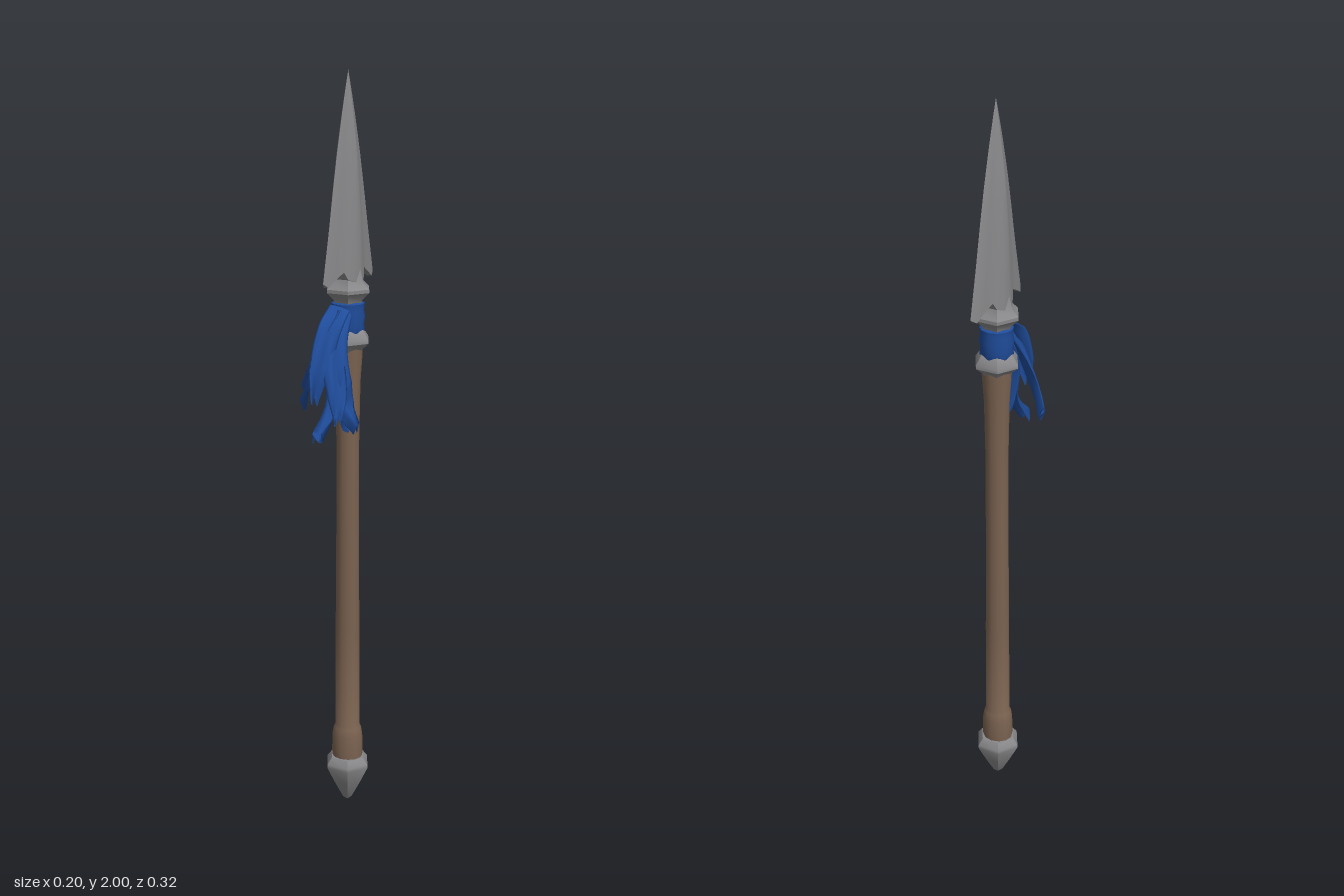
import * as THREE from 'three';
import { toCreasedNormals, mergeVertices } from 'three/addons/utils/BufferGeometryUtils.js';

const CX = 0.012, CZ = -0.031; // axis of the shaft

const steel = new THREE.MeshStandardMaterial({ color: 0x88888a });
steel.name = 'steel';
const wood = new THREE.MeshStandardMaterial({ color: 0x7b6351 });
wood.name = 'wood';
const cloth = new THREE.MeshStandardMaterial({ color: 0x1f4c9a, side: THREE.DoubleSide });
cloth.name = 'blue cloth';

// Piecewise-linear lookup in [[x, y], ...]
function sample(table, x) {
  for (let i = 1; i < table.length; i++) {
    const [x0, y0] = table[i - 1], [x1, y1] = table[i];
    if (x <= x1) return y0 + (y1 - y0) * Math.max(0, (x - x0) / (x1 - x0));
  }
  return table[table.length - 1][1];
}

// Turned part: profile of [radius, y], with a corner on the x axis
function turned(name, profile, sides, material, crease = 0.7) {
  const points = profile.map(([r, y]) => new THREE.Vector2(r, y));
  const lathe = new THREE.LatheGeometry(points, sides, Math.PI / 2);
  const mesh = new THREE.Mesh(toCreasedNormals(lathe, crease), material);
  mesh.name = name;
  mesh.position.set(CX, 0, CZ);
  return mesh;
}

// Closed surface from rings of points, given as fn(row, column) -> [x, y, z]
function loft(rows, cols, fn) {
  const pos = [], idx = [];
  for (let i = 0; i < rows; i++) {
    for (let j = 0; j < cols; j++) pos.push(...fn(i, j));
  }
  for (let i = 0; i < rows - 1; i++) {
    for (let j = 0; j < cols; j++) {
      const k = (j + 1) % cols;
      const a = i * cols + j, b = i * cols + k, c = a + cols, d = b + cols;
      idx.push(a, c, b, b, c, d);
    }
  }
  const g = new THREE.BufferGeometry();
  g.setAttribute('position', new THREE.Float32BufferAttribute(pos, 3));
  g.setIndex(idx);
  return g;
}

// Barbed blade: wide along z, with a thick middle ridge
function makeBlade() {
  const us = [-1, -0.85, -0.65, -0.42, -0.32, -0.16, 0, 0.16, 0.32, 0.42, 0.65, 0.85, 1];
  const n = us.length, rows = 16;
  const bottom = [[0, 1.46], [0.32, 1.475], [0.42, 1.495], [0.65, 1.48], [0.85, 1.463], [1, 1.475]];
  const width = [[1.46, 0.134], [1.5, 0.125], [1.6, 0.102], [1.7, 0.081], [1.8, 0.058], [1.9, 0.031], [1.96, 0.013], [2, 0]];
  const ridge = [[1.46, 0.037], [1.6, 0.035], [1.7, 0.031], [1.8, 0.025], [1.9, 0.014], [2, 0]];
  const section = [[0, 1], [0.16, 0.9], [0.32, 0.66], [0.42, 0.5], [0.65, 0.34], [0.85, 0.2], [1, 0.04]];
  const cols = 2 * n - 2;
  const g = loft(rows, cols, (i, j) => {
    const u = j < n ? us[j] : us[cols - j];
    const side = j < n ? 1 : -1;
    const b = sample(bottom, Math.abs(u));
    const y = b + (2 - b) * (i / (rows - 1));
    const x = side * sample(ridge, y) * sample(section, Math.abs(u));
    return [x, y, u * sample(width, y)];
  });
  // Underside of the barbs
  const idx = Array.from(g.index.array);
  for (let j = 0; j < n - 1; j++) {
    const a = j, b = j + 1, c = (cols - j) % cols, d = cols - j - 1;
    if (c !== a) idx.push(a, b, c);
    if (d !== b) idx.push(b, d, c);
  }
  g.setIndex(idx);
  const mesh = new THREE.Mesh(toCreasedNormals(g, 0.5), steel);
  mesh.name = 'blade';
  mesh.position.set(CX, 0, CZ);
  return mesh;
}

// Torn cloth strip: a thin pleated section swept along a curve
function makeStrip(name, path, halfWidths, across, phase) {
  const curve = new THREE.CatmullRomCurve3(path.map((p) => new THREE.Vector3(...p)));
  const rows = 17, cols = 12;
  const widths = halfWidths.map((w, i) => [i / (halfWidths.length - 1), w]);
  const g = loft(rows, cols, (i, j) => {
    const t = i / (rows - 1), a = (j / cols) * Math.PI * 2;
    const p = curve.getPoint(t), tangent = curve.getTangent(t);
    const side = new THREE.Vector3(...across);
    side.addScaledVector(tangent, -side.dot(tangent)).normalize();
    const out = new THREE.Vector3().crossVectors(side, tangent);
    const s = Math.cos(a);
    const fold = 0.009 * Math.sin(s * 4 + phase + t * 3) * Math.min(1, t * 3);
    p.addScaledVector(side, s * sample(widths, t));
    p.addScaledVector(out, Math.sin(a) * 0.006 * (1 - 0.5 * t) + fold);
    p.y += t > 0.8 ? 0.012 * Math.sin(s * 5 + phase) * (t - 0.8) * 5 : 0; // ragged end
    return [p.x, p.y, p.z];
  });
  const geometry = mergeVertices(g);
  geometry.computeVertexNormals();
  const mesh = new THREE.Mesh(geometry, cloth);
  mesh.name = name;
  return mesh;
}

export function createModel() {
  const spear = new THREE.Group();
  spear.name = 'spear';

  // Shaft with a thicker grip at the foot
  const shaft = turned('shaft', [
    [0.041, 0.12], [0.043, 0.15], [0.042, 0.2], [0.038, 0.222], [0.034, 0.23], [0.033, 0.5],
    [0.031, 0.8], [0.031, 1.05], [0.034, 1.2], [0.039, 1.27], [0.04, 1.31],
  ], 12, wood, 0.8);
  shaft.scale.z = 0.93;
  spear.add(shaft);

  // Metal fittings
  spear.add(turned('buttCap', [
    [0, 0], [0.014, 0.012], [0.04, 0.06], [0.064, 0.108], [0.064, 0.118], [0.05, 0.136], [0, 0.138],
  ], 6, steel));
  spear.add(turned('lowerCollar', [
    [0.036, 1.28], [0.042, 1.288], [0.062, 1.305], [0.062, 1.315], [0.046, 1.338], [0.036, 1.345],
  ], 6, steel));
  spear.add(turned('upperCollar', [
    [0.036, 1.4], [0.042, 1.418], [0.063, 1.438], [0.063, 1.447], [0.044, 1.466], [0.034, 1.51], [0, 1.53],
  ], 6, steel));
  spear.add(makeBlade());

  // Cloth wrap and its hanging strips
  spear.add(turned('clothWrap', [
    [0.038, 1.328], [0.044, 1.333], [0.042, 1.355], [0.045, 1.372], [0.042, 1.39], [0.044, 1.408], [0.034, 1.412],
  ], 12, cloth, 1));
  const strips = new THREE.Group();
  strips.name = 'clothStrips';
  strips.add(
    makeStrip('rightStrip', [[0.005, 1.39, 0.012], [-0.005, 1.32, 0.06], [-0.035, 1.23, 0.075], [-0.084, 1.155, 0.035]],
      [0.025, 0.028, 0.036, 0.042, 0.028], [0.6, 0, 0.8], 0),
    makeStrip('frontStrip', [[0.012, 1.4, 0.012], [0.014, 1.35, 0.07], [0.016, 1.27, 0.118], [0.018, 1.18, 0.152]],
      [0.028, 0.03, 0.03, 0.026, 0.01], [0.8, 0, -0.5], 1.5),
    makeStrip('leftStrip', [[0.02, 1.39, 0.01], [0.03, 1.32, 0.06], [0.055, 1.22, 0.09], [0.06, 1.16, 0.075], [0.098, 1.105, 0.075]],
      [0.025, 0.03, 0.036, 0.03, 0.008], [0.7, 0, -0.7], 2.6),
    makeStrip('lowStrip', [[0.012, 1.37, 0.012], [0.012, 1.27, 0.06], [0.026, 1.16, 0.085], [0.022, 1.08, 0.145]],
      [0.022, 0.025, 0.025, 0.024, 0.018], [1, 0, 0.2], 3.5),
    makeStrip('outerStrip', [[0.02, 1.38, 0.015], [0.035, 1.29, 0.085], [0.06, 1.2, 0.115], [0.072, 1.13, 0.135]],
      [0.02, 0.026, 0.03, 0.024, 0.01], [0.5, 0, -0.8], 5),
    makeStrip('innerStrip', [[0.01, 1.36, 0.01], [0.01, 1.27, 0.05], [0.025, 1.17, 0.055], [0.045, 1.09, 0.045]],
      [0.018, 0.02, 0.022, 0.022, 0.01], [0.8, 0, 0.6], 0.8),
  );
  spear.add(strips);

  return spear;
}
